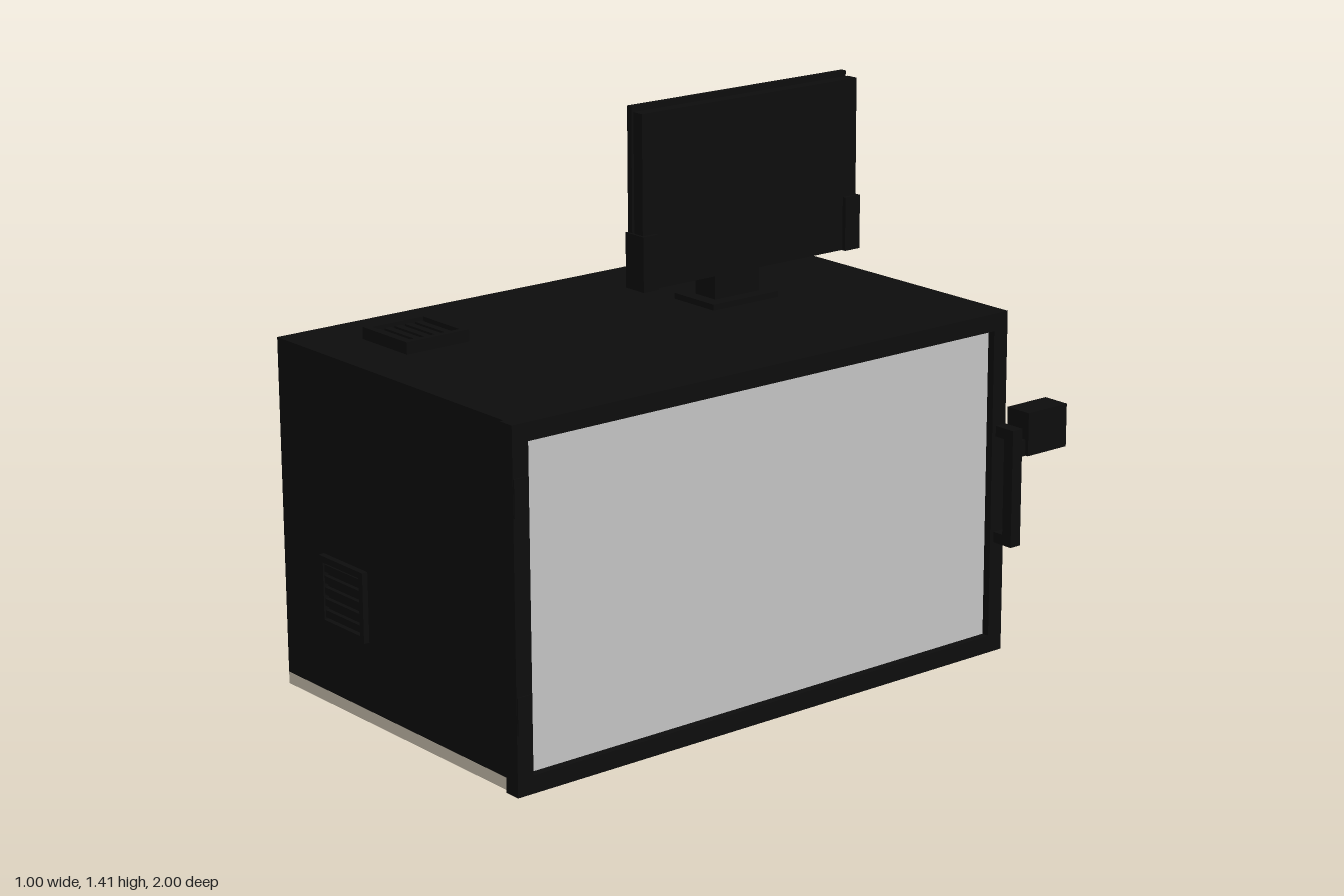
import * as THREE from 'three';

const black = new THREE.MeshStandardMaterial({ name: 'black', color: 0x0d0d0d });
const grey = new THREE.MeshStandardMaterial({ name: 'light grey', color: 0xc8c8c8 });
const beige = new THREE.MeshStandardMaterial({ name: 'beige', color: 0xcdc3b1 });

// Box given by its lower and upper bounds on each axis
function box(parent, name, mat, [x0, x1], [y0, y1], [z0, z1]) {
  const mesh = new THREE.Mesh(new THREE.BoxGeometry(x1 - x0, y1 - y0, z1 - z0), mat);
  mesh.position.set((x0 + x1) / 2, (y0 + y1) / 2, (z0 + z1) / 2);
  mesh.name = name;
  parent.add(mesh);
  return mesh;
}

// Rectangular frame in the xy plane, extruded along +z
function frameGeometry(w, h, border, depth) {
  const rect = (p, a, b) => p.moveTo(-a, -b).lineTo(a, -b).lineTo(a, b).lineTo(-a, b).closePath();
  const shape = rect(new THREE.Shape(), w / 2, h / 2);
  shape.holes.push(rect(new THREE.Path(), w / 2 - border, h / 2 - border));
  return new THREE.ExtrudeGeometry(shape, { depth, bevelEnabled: false });
}

// Louvred vent facing +z
function vent(name, w, h, depth) {
  const g = new THREE.Group();
  g.name = name;
  const rim = new THREE.Mesh(frameGeometry(w, h, 0.016, depth), black);
  rim.name = 'ventRim';
  g.add(rim);
  const count = 5, pitch = (h - 0.032) / count;
  for (let i = 0; i < count; i++) {
    const y = -h / 2 + 0.016 + pitch * (i + 0.5);
    box(g, 'ventSlat', black, [-w / 2 + 0.016, w / 2 - 0.016], [y - 0.009, y + 0.009], [0, depth * 0.7]);
  }
  return g;
}

export function createModel() {
  const model = new THREE.Group();
  model.name = 'cabinet';

  // Cabinet body on its base slab
  box(model, 'base', beige, [-0.5, 0.397], [0, 0.03], [-0.507, 0.985]);
  box(model, 'body', black, [-0.5, 0.397], [0.03, 0.873], [-0.507, 0.985]);

  // Side door: frame with a recessed panel
  const frame = new THREE.Mesh(frameGeometry(1.502, 0.873, 0.044, 0.043), black);
  frame.name = 'doorFrame';
  frame.rotation.y = Math.PI / 2;
  frame.position.set(0.397, 0.4365, 0.244);
  model.add(frame);
  box(model, 'doorPanel', grey, [0.398, 0.42], [0.04, 0.834], [-0.467, 0.955]);

  // Hinges at the front edge of the door
  for (const y of [0.195, 0.705]) {
    box(model, 'hinge', black, [0.43, 0.444], [y - 0.045, y + 0.045], [0.955, 0.994]);
  }

  // Door handle
  const handle = new THREE.Group();
  handle.name = 'doorHandle';
  box(handle, 'handleGrip', black, [0.47, 0.5], [0.287, 0.587], [-0.507, -0.475]);
  for (const y of [0.287, 0.56]) {
    box(handle, 'handleFoot', black, [0.44, 0.47], [y, y + 0.027], [-0.507, -0.475]);
  }
  model.add(handle);

  // Vents on the front and on the roof
  const frontVent = vent('frontVent', 0.18, 0.175, 0.015);
  frontVent.position.set(-0.24, 0.29, 0.985);
  model.add(frontVent);
  const roofVent = vent('roofVent', 0.18, 0.18, 0.03);
  roofVent.rotation.x = -Math.PI / 2;
  roofVent.position.set(-0.265, 0.873, 0.75);
  model.add(roofVent);

  // Rear arm with its mounting plate and end block
  const arm = new THREE.Group();
  arm.name = 'rearArm';
  box(arm, 'armPlate', black, [0.035, 0.185], [0.3, 0.51], [-0.525, -0.507]);
  box(arm, 'armBar', black, [0.1, 0.155], [0.365, 0.408], [-0.995, -0.525]);
  box(arm, 'armBlock', black, [0.087, 0.165], [0.366, 0.482], [-1, -0.862]);
  model.add(arm);

  // Stand with a hooked bracket
  const stand = new THREE.Group();
  stand.name = 'screenStand';
  box(stand, 'standPlate', black, [-0.17, -0.02], [0.873, 0.888], [-0.167, 0.04]);
  box(stand, 'standPost', black, [-0.13, -0.055], [0.888, 1.005], [-0.135, 0.006]);
  box(stand, 'standNeck', black, [-0.105, -0.079], [1.005, 1.098], [-0.1, -0.03]);
  box(stand, 'standHook', black, [-0.079, -0.054], [1.073, 1.098], [-0.1, -0.03]);
  model.add(stand);

  // Screen: back plate and front panel held by two corner clips
  const screen = new THREE.Group();
  screen.name = 'screen';
  box(screen, 'screenBack', black, [-0.056, -0.04], [0.967, 1.407], [-0.402, 0.275]);
  box(screen, 'screenPanel', black, [-0.032, 0], [0.967, 1.395], [-0.402, 0.275]);
  box(screen, 'screenRail', black, [-0.056, 0], [0.965, 0.99], [-0.402, 0.275]);
  for (const [z0, z1] of [[-0.408, -0.36], [0.235, 0.281]]) {
    box(screen, 'screenClip', black, [-0.058, 0.01], [0.964, 1.1], [z0, z1]);
  }
  model.add(screen);

  return model;
}
